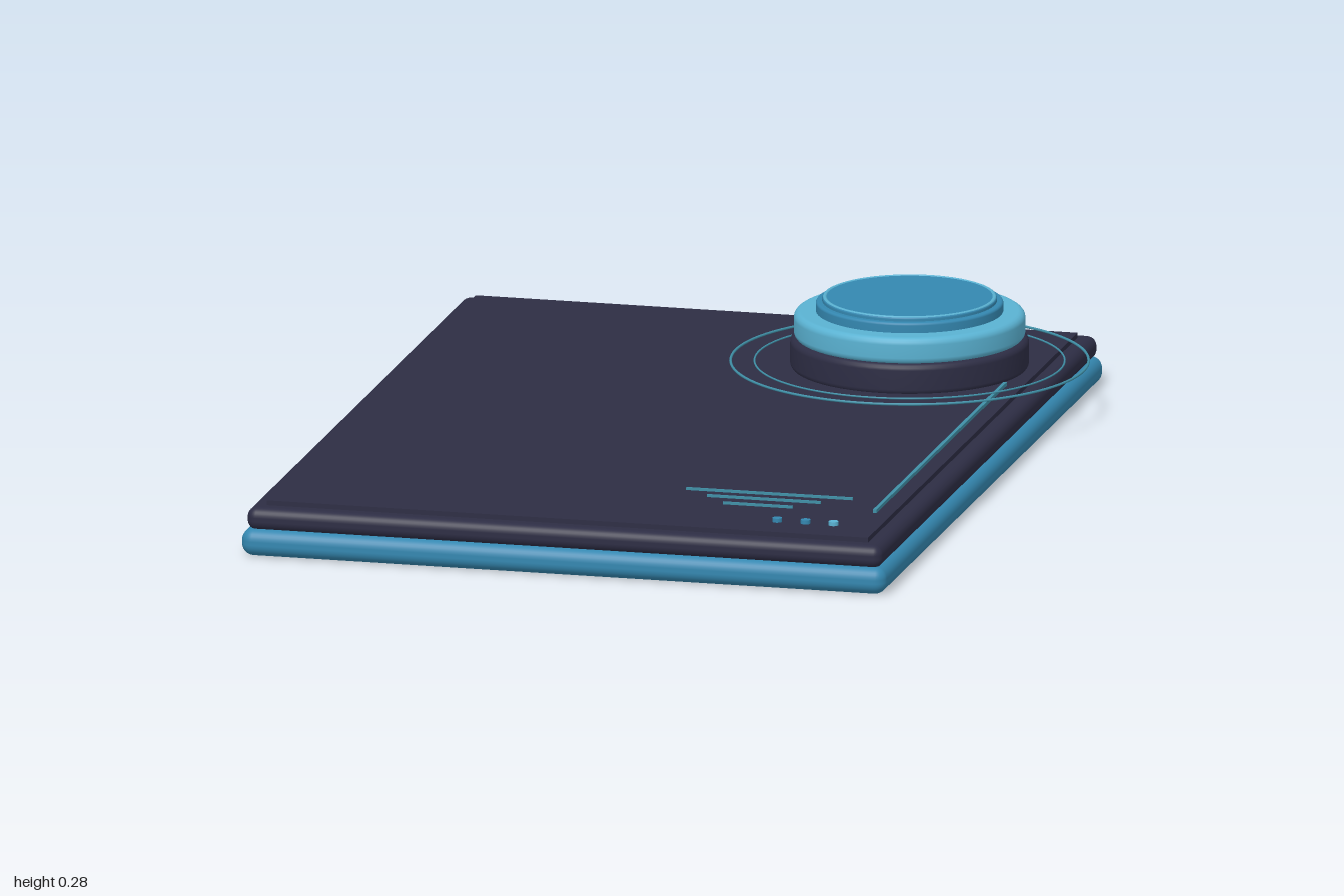
import * as THREE from 'three';
import { RoundedBoxGeometry } from 'three/addons/geometries/RoundedBoxGeometry.js';

const mat = (name, color) => Object.assign(new THREE.MeshStandardMaterial({ color }), { name });

export function createModel() {
  const dark = mat('dark navy', 0x2d2d44);
  const blue = mat('blue', 0x3487b0);
  const light = mat('light blue', 0x5ab2d2);
  const teal = mat('teal', 0x3f8fa6);
  const root = new THREE.Group();
  root.name = 'consolePanel';

  const add = (name, geometry, material, x, y, z, parent = root) => {
    const mesh = new THREE.Mesh(geometry, material);
    mesh.name = name;
    mesh.position.set(x, y, z);
    parent.add(mesh);
    return mesh;
  };

  // Stacked slabs
  const cx = -0.032;
  add('baseSlab', new RoundedBoxGeometry(1.474, 0.062, 2, 4, 0.027), blue, cx, 0.031, 0);
  add('upperSlab', new RoundedBoxGeometry(1.452, 0.052, 1.976, 4, 0.022), dark, cx, 0.083, 0);
  add('topPanel', new THREE.BoxGeometry(1.376, 0.02, 1.9), dark, cx, 0.11, 0);

  // Round knob built from softened discs
  const knob = new THREE.Group();
  knob.name = 'knob';
  knob.position.set(0.365, 0, -0.58);
  root.add(knob);
  const disc = (name, r, y0, y1, bevel, material) => {
    const points = [new THREE.Vector2(0, y0)];
    for (let i = 0; i <= 4; i++) {
      const a = -Math.PI / 2 + i * Math.PI / 8;
      points.push(new THREE.Vector2(r - bevel + bevel * Math.cos(a), y0 + bevel + bevel * Math.sin(a)));
    }
    for (let i = 0; i <= 4; i++) {
      const a = i * Math.PI / 8;
      points.push(new THREE.Vector2(r - bevel + bevel * Math.cos(a), y1 - bevel + bevel * Math.sin(a)));
    }
    points.push(new THREE.Vector2(0, y1));
    add(name, new THREE.LatheGeometry(points, 64), material, 0, 0, 0, knob);
  };
  disc('knobFoot', 0.265, 0.115, 0.187, 0.014, dark);
  disc('knobBody', 0.257, 0.183, 0.245, 0.016, light);
  disc('knobCap', 0.208, 0.235, 0.268, 0.006, blue);
  disc('knobTop', 0.194, 0.26, 0.277, 0.004, blue);
  const rim = add('knobTopRim', new THREE.TorusGeometry(0.188, 0.005, 8, 64), light, 0, 0.274, 0, knob);
  rim.rotation.x = Math.PI / 2;

  // Thin rings floating around the knob
  for (const [r, tube] of [[0.397, 0.003], [0.344, 0.0022]]) {
    const ring = add('haloRing', new THREE.TorusGeometry(r, tube, 8, 96), teal, 0, 0.13, 0, knob);
    ring.rotation.x = Math.PI / 2;
  }

  // Fine inlaid lines
  add('sideLine', new THREE.BoxGeometry(0.008, 0.008, 1.18), teal, 0.616, 0.124, 0.14);
  for (const [x, z, w] of [[0.35, 0.63, 0.38], [0.35, 0.68, 0.26], [0.35, 0.735, 0.16]]) {
    add('textureLine', new THREE.BoxGeometry(w, 0.006, 0.004), teal, x, 0.123, z);
  }

  // Indicator dots
  [0.425, 0.49, 0.554].forEach((x, i) => {
    add('indicatorDot', new THREE.CylinderGeometry(0.011, 0.011, 0.009, 16), i === 2 ? light : blue, x, 0.1245, 0.858);
  });
  return root;
}
